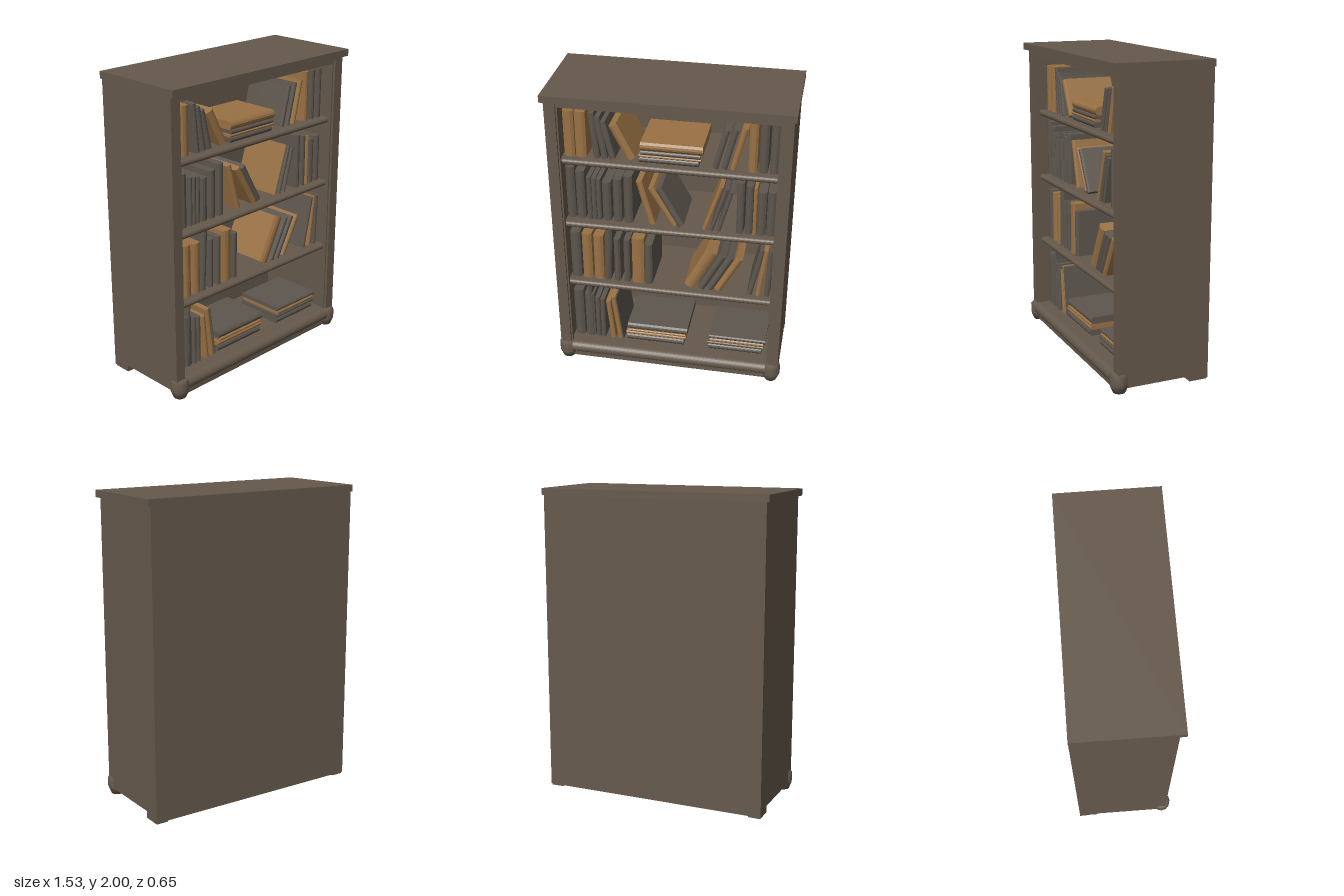
import * as THREE from 'three';

const wood = new THREE.MeshStandardMaterial({ color: 0x66594c });
wood.name = 'dark brown wood';
const grey = new THREE.MeshStandardMaterial({ color: 0x5d564e });
grey.name = 'grey cover';
const tan = new THREE.MeshStandardMaterial({ color: 0x9a7245 });
tan.name = 'tan cover';

const BOOK_FRONT = 0.2;
const BOOK_DEPTH = 0.34;
const BOOK_Z = BOOK_FRONT - BOOK_DEPTH / 2;
const BACK = -0.28;

function add(parent, name, geometry, material, x = 0, y = 0, z = 0) {
  const mesh = new THREE.Mesh(geometry, material);
  mesh.name = name;
  mesh.position.set(x, y, z);
  parent.add(mesh);
  return mesh;
}

// Box given by its limits on each axis
function block(parent, name, x0, x1, y0, y1, z0, z1) {
  return add(parent, name, new THREE.BoxGeometry(x1 - x0, y1 - y0, z1 - z0), wood,
    (x0 + x1) / 2, (y0 + y1) / 2, (z0 + z1) / 2);
}

// Board with a rounded front edge, running along x
function board(parent, name, halfWidth, thickness, back, front) {
  const r = thickness / 2;
  const shape = new THREE.Shape();
  shape.moveTo(-back, -r);
  shape.lineTo(-back, r);
  shape.lineTo(-front + r, r);
  shape.absarc(-front + r, 0, r, Math.PI / 2, Math.PI * 1.5, false);
  shape.lineTo(-back, -r);
  const g = new THREE.ExtrudeGeometry(shape, { depth: halfWidth * 2, bevelEnabled: false, curveSegments: 8 });
  g.translate(0, 0, -halfWidth);
  g.rotateY(Math.PI / 2);
  return add(parent, name, g, wood);
}

// Upright book: width on x, height on y, curved spine facing +z
function bookGeometry(width, height) {
  const w = width / 2;
  const d = BOOK_DEPTH / 2;
  const bulge = Math.min(0.015, width * 0.3);
  const shape = new THREE.Shape();
  shape.moveTo(-w, d);
  shape.lineTo(-w, -d + bulge);
  shape.quadraticCurveTo(0, -d - bulge, w, -d + bulge);
  shape.lineTo(w, d);
  const g = new THREE.ExtrudeGeometry(shape, { depth: height, bevelEnabled: false, curveSegments: 4 });
  g.translate(0, 0, -height / 2);
  g.rotateX(-Math.PI / 2);
  return g;
}

// Run of evenly spaced books, in hundredths: x at the foot, sideways lean and
// height each change steadily from the first book to the last
function bookRun(parent, floor, count, foot, width, height, tans = [], lean = [0, 0]) {
  for (let i = 0; i < count; i++) {
    const t = count > 1 ? i / (count - 1) : 0;
    const [x, h, shift] = [foot, height, lean].map(([a, b]) => THREE.MathUtils.lerp(a, b, t) / 100);
    const w = width / 100;
    // Shorten a leaning book so its corners touch the shelf and the given top
    const angle = Math.atan2(shift, h);
    const length = (h - w * Math.abs(Math.sin(angle))) / Math.cos(angle);
    const book = add(parent, 'book', bookGeometry(w, length), tans.includes(i) ? tan : grey,
      x + shift / 2, floor + h / 2, BOOK_Z);
    book.rotation.z = -angle;
  }
}

// Pile of lying books, listed by thickness from the bottom up
function bookStack(parent, floor, x, width, thicknesses, tans) {
  let y = floor;
  thicknesses.forEach((thickness, i) => {
    const h = thickness / 100;
    const w = (width + (i % 2) * 2) / 100;
    const book = add(parent, 'lyingBook', bookGeometry(h, w), tans.includes(i) ? tan : grey,
      (x + i * 0.5) / 100, y + h / 2, BOOK_Z);
    book.rotation.z = Math.PI / 2;
    y += h;
  });
}

function topRow(g, floor) {
  bookRun(g, floor, 2, [-63.4, -56], 6.8, [31, 31], [0, 1]);
  bookRun(g, floor, 3, [-46, -36], 3.8, [31, 26], [], [-3, -6]);
  bookRun(g, floor, 1, [-23.6, -23.6], 5.5, [25, 25], [0], [-12.7, -12.7]);
  bookStack(g, floor, -0.5, 37, [3.7, 1.6, 2.7, 5.5], [1, 3]);
  bookRun(g, floor, 3, [28, 39], 3.7, [27, 29], [2], [7, 7]);
  bookRun(g, floor, 3, [51, 64], 5.3, [33, 33], [0]);
}

function secondRow(g, floor) {
  bookRun(g, floor, 2, [-64.3, -58], 5.6, [37, 34.5]);
  bookRun(g, floor, 3, [-52.3, -46], 2.9, [31, 30]);
  bookRun(g, floor, 3, [-41, -27], 5.5, [28, 34]);
  bookRun(g, floor, 1, [-11.4, -11.4], 4, [31.5, 31.5], [0], [-8.6, -8.6]);
  bookRun(g, floor, 2, [3.5, 7.5], 4.2, [28, 28], [0], [-16.5, -15.5]);
  bookRun(g, floor, 3, [22, 31], 2.8, [33, 30], [0], [10.5, 8]);
  bookRun(g, floor, 2, [44.5, 50], 4.5, [36.5, 35]);
  bookRun(g, floor, 1, [53.8, 53.8], 2.2, [34, 34], [0]);
  bookRun(g, floor, 2, [58, 64], 5.5, [31, 32]);
}

function thirdRow(g, floor) {
  bookRun(g, floor, 3, [-63.5, -48], 6.5, [35.5, 34], [1, 2]);
  bookRun(g, floor, 1, [-42.5, -42.5], 4.5, [41, 41], [], [2, 2]);
  bookRun(g, floor, 2, [-35.5, -29], 4, [33, 33]);
  bookRun(g, floor, 1, [-21.5, -21.5], 8, [35, 35], [0]);
  bookRun(g, floor, 1, [-14.5, -14.5], 5, [31, 31]);
  bookRun(g, floor, 1, [12, 12], 7.5, [32, 32], [0], [16, 16]);
  bookRun(g, floor, 3, [20, 31], 4.5, [29, 28], [2], [15, 15]);
  bookRun(g, floor, 3, [52.5, 64], 3.4, [36, 36], [1], [7.5, 1.3]);
}

function bottomRow(g, floor) {
  bookRun(g, floor, 2, [-63.5, -56], 6.5, [37.5, 35]);
  bookRun(g, floor, 1, [-57, -57], 2.5, [45, 45], [], [2, 2]);
  bookRun(g, floor, 2, [-50.5, -47], 3.1, [33, 32]);
  bookRun(g, floor, 2, [-40, -35], 3.2, [31, 35], [0, 1], [-3, -4.5]);
  bookRun(g, floor, 1, [-33, -33], 0.8, [34.6, 34.6], [], [-4.5, -4.5]);
  bookStack(g, floor, -10.5, 39.5, [4.8, 2.6, 1.8, 4.6], [1, 2]);
  bookStack(g, floor, 44.5, 36.5, [4.2, 2.2, 2.6, 2.7], [2]);
}

export function createModel() {
  const model = new THREE.Group();
  model.name = 'bookcase';

  // Carcass
  block(model, 'topSlab', -0.765, 0.765, 1.955, 2, -0.325, 0.325);
  block(model, 'topRail', -0.69, 0.69, 1.91, 1.955, BACK, 0.28);
  block(model, 'backPanel', -0.75, 0.75, 0.01, 1.955, -0.325, BACK);
  block(model, 'bottomPanel', -0.69, 0.69, 0.05, 0.128, BACK, 0.28);
  block(model, 'plinth', -0.7, 0.7, 0.012, 0.05, BACK, 0.285);
  const rail = board(model, 'bottomRail', 0.68, 0.08, 0.2, 0.315);
  rail.position.y = 0.089;

  // Sides, slim inner trim and feet
  const footProfile = [[0, 0], [0.04, 0.002], [0.057, 0.042], [0.06, 0.055], [0.06, 0.112], [0.047, 0.128], [0, 0.13]]
    .map(([r, y]) => new THREE.Vector2(r, y));
  for (const s of [-1, 1]) {
    const side = block(model, 'sidePanel', -0.035, 0.035, 0.05, 1.955, BACK, 0.29);
    side.position.x = s * 0.715;
    const trim = block(model, 'sideTrim', -0.006, 0.006, 0.13, 1.91, 0.25, 0.275);
    trim.position.x = s * 0.676;
    add(model, 'frontFoot', new THREE.LatheGeometry(footProfile, 12), wood, s * 0.705, 0, 0.265);
    const backFoot = block(model, 'backFoot', -0.04, 0.04, 0, 0.055, -0.32, -0.2);
    backFoot.position.x = s * 0.705;
  }

  // Shelves; the middle one sags slightly to one side
  [[1.521, 0], [1.068, 0.01], [0.602, 0]].forEach(([y, tilt]) => {
    const shelf = board(model, 'shelf', 0.68, 0.038, BACK, 0.25);
    shelf.position.y = y;
    shelf.rotation.z = tilt;
  });

  // Books, one group for each level
  [[topRow, 1.54], [secondRow, 1.09], [thirdRow, 0.62], [bottomRow, 0.13]].forEach(([fill, floor]) => {
    const group = new THREE.Group();
    group.name = 'bookRow';
    fill(group, floor);
    model.add(group);
  });
  return model;
}
